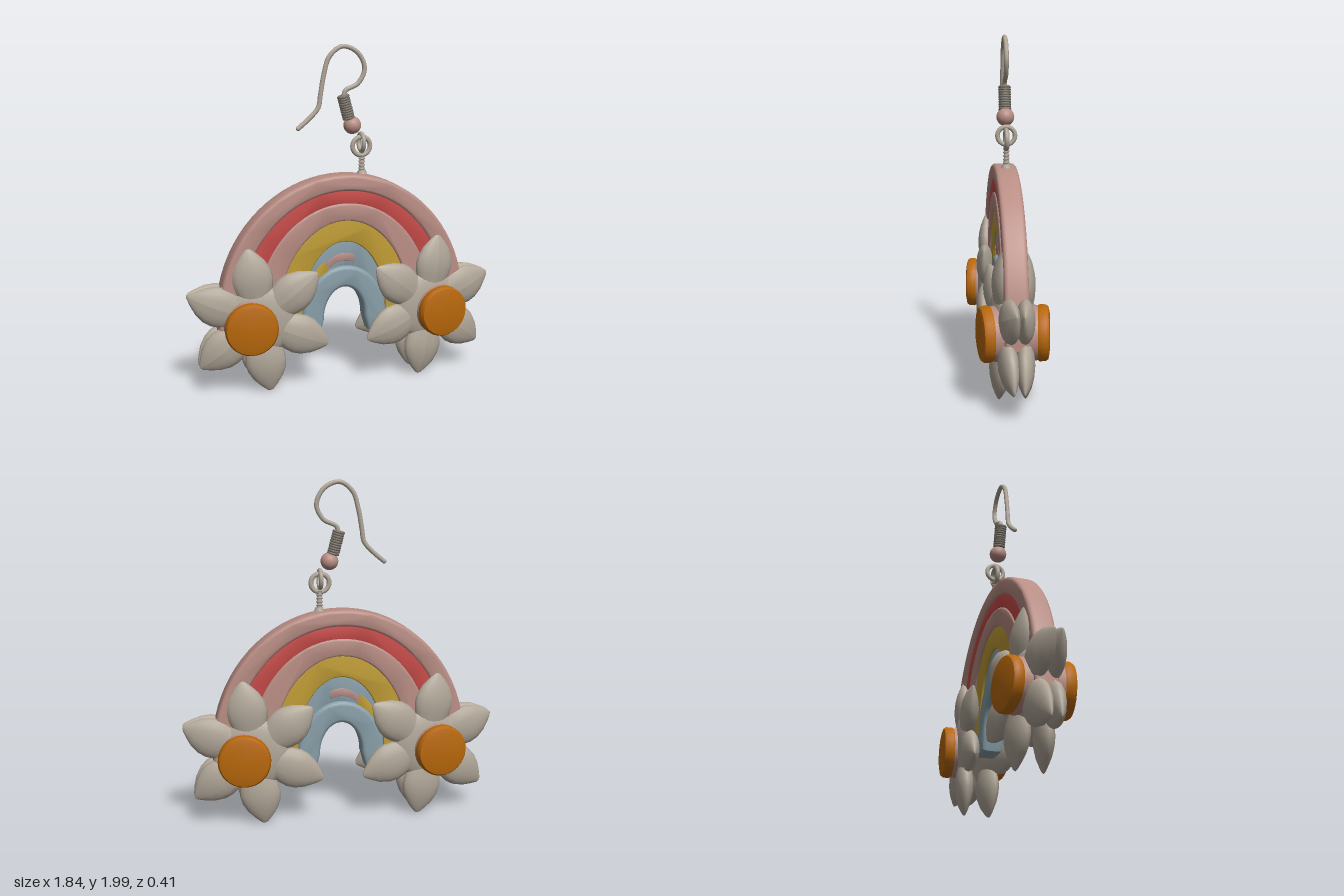
import * as THREE from 'three';
import { toCreasedNormals } from 'three/addons/utils/BufferGeometryUtils.js';

const paint = (name, color) => {
  const m = new THREE.MeshStandardMaterial({ color });
  m.name = name;
  return m;
};

export function createModel() {
  const root = new THREE.Group();
  const pink = paint('dusty pink', 0xb88d84);
  const red = paint('coral red', 0xc64a47);
  const yellow = paint('mustard', 0xc09c35);
  const blue = paint('grey blue', 0x889ea8);
  const grey = paint('warm grey', 0xb0a698);
  const orange = paint('orange', 0xb8680b);
  const darkGrey = paint('dark wire', 0x7d766c);

  const add = (parent, name, geometry, material, x = 0, y = 0, z = 0) => {
    const mesh = new THREE.Mesh(geometry, material);
    mesh.name = name;
    mesh.position.set(x, y, z);
    parent.add(mesh);
    return mesh;
  };

  // Rainbow bands: elliptical arcs with optional legs, extruded and bevelled
  const band = (name, material, outer, inner, half, bevel, o = {}) => {
    const { cy = 0.45, foot = 0.37, flare = 0, from = 0, to = Math.PI } = o;
    const legs = from === 0 && to === Math.PI;
    const edge = ([rx, ry]) => {
      const pts = [];
      for (let i = 0; i <= 40; i++) {
        const a = from + (to - from) * i / 40;
        pts.push(new THREE.Vector2(rx * Math.cos(a), cy + ry * Math.sin(a)));
      }
      if (legs) {
        pts.unshift(new THREE.Vector2(rx + flare, foot));
        pts.push(new THREE.Vector2(-rx - flare, foot));
      }
      return pts;
    };
    const shape = new THREE.Shape([...edge(outer), ...edge(inner).reverse()]);
    const g = new THREE.ExtrudeGeometry(shape, {
      depth: 2 * (half - bevel), bevelEnabled: true, bevelThickness: bevel,
      bevelSize: bevel * 0.8, bevelOffset: -bevel * 0.8, bevelSegments: 3,
    });
    g.translate(0, 0, -(half - bevel));
    add(root, name, toCreasedNormals(g, 0.7), material);
  };
  band('outerPinkBand', pink, [0.75, 0.81], [0.63, 0.715], 0.065, 0.022);
  band('redBand', red, [0.645, 0.73], [0.52, 0.63], 0.054, 0.006);
  band('innerPinkBand', pink, [0.535, 0.645], [0.395, 0.54], 0.062, 0.014);
  band('yellowBand', yellow, [0.41, 0.55], [0.255, 0.415], 0.05, 0.008);
  band('blueInfill', blue, [0.27, 0.43], [0.19, 0.24], 0.038, 0.004);
  band('blueArch', blue, [0.26, 0.32], [0.125, 0.19], 0.062, 0.028,
    { cy: 0.4, foot: 0.31, flare: 0.025 });

  // Worn paint patches showing on both faces of the blue infill
  band('paleSmear', pink, [0.2, 0.345], [0.19, 0.30], 0.042, 0.002, { from: 1.25, to: 2.15 });
  band('yellowSmear', yellow, [0.255, 0.34], [0.2, 0.27], 0.043, 0.002, { from: 2.05, to: 2.6 });

  // Flowers: six pointed petals, a hub and a raised centre, on both faces
  const petalProfile = [[0, 0.02], [0.06, 0.07], [0.09, 0.14], [0.112, 0.2], [0.12, 0.25],
    [0.112, 0.3], [0.085, 0.355], [0.047, 0.4], [0.018, 0.428], [0, 0.436]]
    .map(([r, y]) => new THREE.Vector2(r, y));
  const petalGeo = new THREE.LatheGeometry(petalProfile, 16);
  petalGeo.scale(1, 1, 0.44);
  petalGeo.computeVertexNormals();
  const hubGeo = new THREE.SphereGeometry(0.21, 24, 14);
  hubGeo.scale(1, 1, 0.27);
  const discGeo = toCreasedNormals(new THREE.LatheGeometry(
    [[0, 0], [0.145, 0], [0.153, 0.015], [0.152, 0.045], [0.142, 0.06], [0.11, 0.067], [0, 0.07]]
      .map(([r, y]) => new THREE.Vector2(r, y)), 28), 0.6);
  const collarGeo = new THREE.CylinderGeometry(0.146, 0.16, 0.08, 28);

  const flower = (sx, sz) => {
    const f = new THREE.Group();
    f.name = (sz > 0 ? 'front' : 'back') + (sx > 0 ? 'Left' : 'Right') + 'Flower';
    f.position.set(0.52 * sx, 0.44, 0.068 * sz);
    f.rotation.y = 0.12 * sx * sz;
    for (let i = 0; i < 6; i++) {
      const a = THREE.MathUtils.degToRad(-8 + i * 60);
      add(f, 'petal', petalGeo, grey).rotation.z = a * sx;
    }
    add(f, 'hub', hubGeo, grey);
    const up = sz * Math.PI / 2;
    add(f, 'collar', collarGeo, pink, 0.05 * sx, -0.02, 0.03 * sz).rotation.x = up;
    add(f, 'flowerCentre', discGeo, orange, 0.05 * sx, -0.02, 0.062 * sz).rotation.x = up;
    root.add(f);
  };
  for (const sx of [-1, 1]) for (const sz of [-1, 1]) flower(sx, sz);

  // Screw eye and linking rings
  add(root, 'eyeBase', new THREE.CylinderGeometry(0.022, 0.03, 0.02, 16), grey, 0.12, 1.264);
  add(root, 'eyeStem', new THREE.CylinderGeometry(0.012, 0.016, 0.13, 12), grey, 0.118, 1.32);
  for (let i = 0; i < 5; i++) {
    const t = add(root, 'stemTwist', new THREE.TorusGeometry(0.014, 0.006, 6, 14), grey,
      0.118, 1.285 + i * 0.02);
    t.rotation.x = Math.PI / 2 + 0.25;
  }
  add(root, 'frontRing', new THREE.TorusGeometry(0.053, 0.014, 10, 32), grey, 0.115, 1.415);
  add(root, 'sideRing', new THREE.TorusGeometry(0.05, 0.013, 10, 32), grey, 0.115, 1.437)
    .rotation.y = Math.PI / 2;

  // Bead and wire coil
  add(root, 'bead', new THREE.SphereGeometry(0.051, 24, 16), pink, 0.06, 1.538);
  const coil = new THREE.Group();
  coil.name = 'coil';
  coil.position.set(0.022, 1.642, 0);
  coil.rotation.z = 0.26;
  add(coil, 'coilCore', new THREE.CylinderGeometry(0.028, 0.028, 0.14, 16), darkGrey);
  for (let i = 0; i < 10; i++) {
    add(coil, 'coilTurn', new THREE.TorusGeometry(0.028, 0.0085, 8, 20), darkGrey,
      0, -0.063 + i * 0.014).rotation.x = Math.PI / 2;
  }
  root.add(coil);

  // Ear wire
  const path = [[-0.26, 1.53], [-0.195, 1.585], [-0.142, 1.645], [-0.128, 1.72], [-0.108, 1.83],
    [-0.075, 1.93], [0, 1.985], [0.09, 1.95], [0.133, 1.86], [0.095, 1.777], [0.018, 1.735],
    [0.008, 1.69]].map(([x, y]) => new THREE.Vector3(x, y, 0));
  add(root, 'earWire', new THREE.TubeGeometry(new THREE.CatmullRomCurve3(path), 90, 0.0135, 10), grey);
  add(root, 'wireTip', new THREE.SphereGeometry(0.0135, 10, 8), grey, -0.26, 1.53);

  return root;
}
